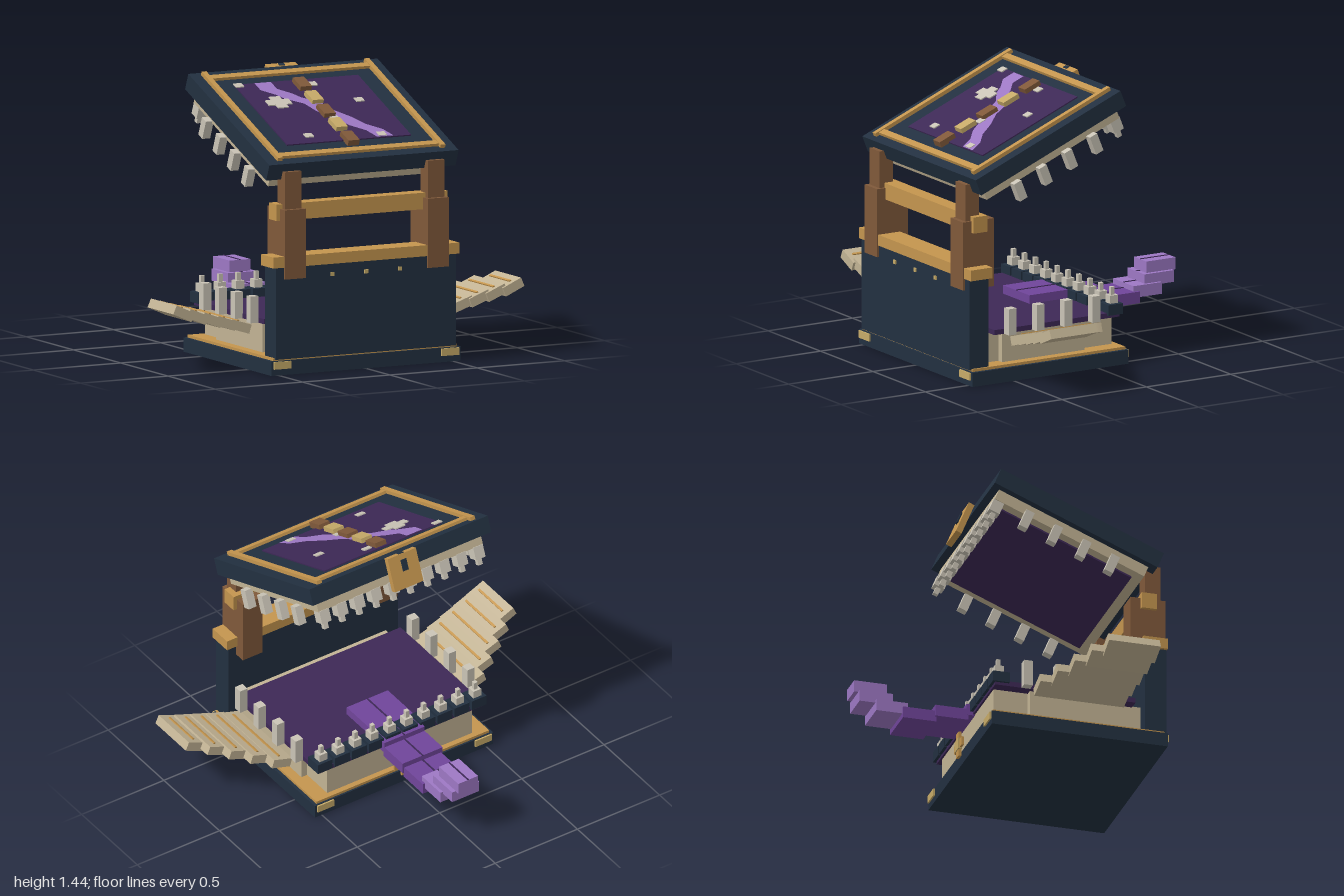
import * as THREE from 'three';

const mat = (name, color, extra = {}) => {
  const m = new THREE.MeshStandardMaterial({ color, ...extra });
  m.name = name;
  return m;
};

export function createModel() {
  const navy = mat('navy leather', 0x223040);
  const gold = mat('gold', 0xc4954e);
  const brass = mat('pale brass', 0xc6aa68);
  const brown = mat('brown wood', 0x80593a);
  const tan = mat('parchment', 0xc2b394);
  const ivory = mat('ivory', 0xcac4b6);
  const plum = mat('dark plum', 0x3d2856);
  const violet = mat('violet', 0x70459a);
  const lilac = mat('lilac', 0x9d78c4, { side: THREE.DoubleSide });

  const model = new THREE.Group();
  model.name = 'chestCreature';

  const group = (name, parent = model) => {
    const g = new THREE.Group();
    g.name = name;
    parent.add(g);
    return g;
  };
  // Box given by its extents on each axis
  const box = (parent, name, m, [x0, x1], [y0, y1], [z0, z1]) => {
    const mesh = new THREE.Mesh(new THREE.BoxGeometry(x1 - x0, y1 - y0, z1 - z0), m);
    mesh.position.set((x0 + x1) / 2, (y0 + y1) / 2, (z0 + z1) / 2);
    mesh.name = name;
    parent.add(mesh);
    return mesh;
  };
  const span = (c, w) => [c - w / 2, c + w / 2];
  const sym = (h) => [-h, h];

  // Base slab and its gold inlay
  const base = group('base');
  box(base, 'baseSlab', navy, sym(0.542), [0, 0.073], [-0.18, 0.747]);
  box(base, 'baseInlay', gold, sym(0.525), [0.073, 0.087], [-0.17, 0.735]);
  for (const s of [-1, 1]) {
    box(base, 'frontCornerPlate', brass, span(s * 0.48, 0.1), [0.032, 0.07], [0.747, 0.756]);
    box(base, 'backCornerPlate', brass, span(s * 0.48, 0.1), [0.032, 0.07], [-0.189, -0.18]);
  }

  // Cross-shaped clasp on the back edge
  const clasp = group('clasp');
  box(clasp, 'claspBar', gold, sym(0.065), [0.095, 0.14], [-0.192, -0.18]);
  box(clasp, 'claspPost', gold, sym(0.022), [0.052, 0.185], [-0.195, -0.18]);
  box(clasp, 'claspBoss', brass, sym(0.03), [0.088, 0.147], [-0.2, -0.18]);

  // Wall, beams, posts and rivets
  const wall = group('wall');
  box(wall, 'wallPanel', navy, sym(0.516), [0.08, 0.547], [0.634, 0.747]);
  box(wall, 'lowerBeam', gold, sym(0.533), [0.547, 0.603], [0.622, 0.751]);
  box(wall, 'upperBeam', gold, sym(0.49), [0.78, 0.864], [0.626, 0.707]);
  for (const s of [-1, 1]) {
    box(wall, 'lowerPost', brown, span(s * 0.41, 0.12), [0.487, 0.84], [0.573, 0.758]);
    box(wall, 'upperPost', brown, span(s * 0.41, 0.094), [0.84, 1.03], [0.654, 0.735]);
  }
  for (const x of [-0.193, 0, 0.193])
    box(wall, 'rivet', brass, span(x, 0.02), span(0.495, 0.02), [0.747, 0.754]);

  // Page block and lower jaw
  const jaw = group('lowerJaw');
  box(jaw, 'pageBlock', tan, sym(0.44), [0.087, 0.245], [-0.14, 0.634]);
  box(jaw, 'pageBlockMiddle', tan, sym(0.475), [0.087, 0.24], [0.04, 0.53]);
  box(jaw, 'mouthFloor', plum, sym(0.5), [0.24, 0.266], [-0.15, 0.59]);

  // Stepped fang: wide root plus thin tip, pointing up or down
  const fang = (parent, x, z, y, dir, wide, rootH, tipH) => {
    const range = (a, b) => [Math.min(a, b), Math.max(a, b)];
    box(parent, 'fangRoot', ivory, span(x, wide), range(y, y + dir * rootH), span(z, wide));
    box(parent, 'fangTip', ivory, span(x, wide * 0.45),
      range(y + dir * rootH, y + dir * (rootH + tipH)), span(z, wide * 0.45));
  };
  for (let i = 0; i < 10; i++) {
    const x = (i - 4.5) * 0.104;
    box(jaw, 'gum', navy, span(x, 0.09), [0.255, 0.31], [-0.165, -0.077]);
    fang(jaw, x, -0.125, 0.31, 1, 0.047, 0.042, 0.04);
  }
  for (const s of [-1, 1])
    for (let i = 0; i < 4; i++)
      box(jaw, 'lowerSideTooth', ivory, span(s * 0.522, 0.045), [0.24, 0.376], span(0.012 + i * 0.166, 0.046));

  // Tongue: half width, y range, z range, colour
  const tongue = group('tongue');
  [
    [0.125, [0.25, 0.31], [-0.08, 0.15], violet],
    [0.123, [0.235, 0.295], [-0.185, -0.02], violet],
    [0.122, [0.208, 0.268], [-0.348, -0.175], violet],
    [0.112, [0.18, 0.24], [-0.515, -0.34], violet],
    [0.098, [0.207, 0.268], [-0.652, -0.485], lilac],
    [0.082, [0.255, 0.316], [-0.735, -0.56], lilac],
    [0.06, [0.313, 0.375], [-0.757, -0.585], lilac],
  ].forEach(([h, y, z, m]) => {
    box(tongue, 'tongueSegment', m, sym(h), y, z);
    box(tongue, 'tongueGroove', plum, sym(0.004), [y[1], y[1] + 0.003], z);
  });

  // Wings of overlapping slats, each with a gold rib
  for (const s of [-1, 1]) {
    const wing = group(s > 0 ? 'leftWing' : 'rightWing');
    for (let i = 0; i < 5; i++) {
      const slat = group('wingSlat', wing);
      const z = [0.043 + 0.0628 * i, 0.515 + 0.013 * i];
      slat.position.set(s * (0.59 + 0.0885 * i), 0.224 + 0.0245 * i, 0);
      slat.rotation.z = s * (0.3 + 0.03 * i);
      box(slat, 'slat', tan, sym(0.057), sym(0.024), z);
      box(slat, 'rib', gold, span(s * 0.008, 0.012), [0.024, 0.03], [z[0] + 0.03, z[1] - 0.03]);
    }
  }

  // Lid, tilted open; everything below is in lid space
  const lid = group('lid');
  lid.position.set(0, 1.205, 0.281);
  lid.rotation.x = 0.389;
  box(lid, 'lidSlab', navy, sym(0.542), sym(0.0445), sym(0.4635));
  for (const s of [-1, 1]) {
    box(lid, 'frameSideBar', gold, span(s * 0.466, 0.028), [0.044, 0.064], [-0.444, 0.431]);
    box(lid, 'frameCrossBar', gold, sym(0.48), [0.044, 0.06], span(s * 0.394, 0.036));
  }
  box(lid, 'skyPanel', plum, sym(0.355), [0.044, 0.051], [-0.315, 0.292]);

  // Jagged lilac streak across the panel
  const line = [[-0.2, -0.31], [-0.19, -0.24], [-0.14, -0.185], [-0.1, -0.14], [-0.03, -0.08],
    [0.01, 0], [0.065, 0.08], [0.12, 0.16], [0.175, 0.22], [0.213, 0.288]];
  const edge = (s) => line.map(([x, z], i) =>
    new THREE.Vector2(x + s * (0.042 + ((i + (s > 0)) % 2) * 0.01), -z));
  const streak = new THREE.Mesh(
    new THREE.ShapeGeometry(new THREE.Shape([...edge(-1), ...edge(1).reverse()])), lilac);
  streak.rotation.x = -Math.PI / 2;
  streak.position.y = 0.0535;
  streak.name = 'streak';
  lid.add(streak);

  // Pale stars: x, z, width, depth
  [[-0.337, -0.3, 0.046, 0.036], [0.065, -0.26, 0.046, 0.036], [-0.203, -0.11, 0.134, 0.05],
    [-0.203, -0.11, 0.06, 0.11], [0.24, -0.075, 0.046, 0.036], [0.022, 0.081, 0.046, 0.04],
    [-0.2, 0.225, 0.046, 0.036], [0.198, 0.265, 0.046, 0.036]]
    .forEach(([x, z, w, d]) => box(lid, 'star', ivory, span(x, w), [0.051, 0.057], span(z, d)));

  // Alternating blocks down the middle
  for (let i = 0; i < 5; i++)
    box(lid, 'spineBlock', i % 2 ? brass : brown, sym(0.032), [0.044, 0.076], span(-0.253 + i * 0.1365, 0.094));

  // Latch with keyhole
  box(lid, 'latch', gold, sym(0.086), [-0.135, 0.045], [-0.495, -0.4635]);
  box(lid, 'keyhole', navy, sym(0.016), [-0.045, 0.015], [-0.502, -0.495]);
  box(lid, 'latchCap', navy, sym(0.016), [0.045, 0.048], [-0.49, -0.47]);

  // Upper jaw and teeth
  box(lid, 'upperJaw', tan, sym(0.5), [-0.103, -0.0445], sym(0.425));
  box(lid, 'palate', plum, sym(0.44), [-0.112, -0.103], sym(0.375));
  for (let i = 0; i < 10; i++)
    fang(lid, (i - 4.5) * 0.104, -0.4, -0.1, -1, 0.058, 0.068, 0.037);
  for (const s of [-1, 1])
    for (let i = 0; i < 4; i++)
      box(lid, 'upperSideTooth', ivory, span(s * 0.515, 0.045), [-0.192, -0.092], span(0.248 - i * 0.162, 0.046));

  return model;
}
